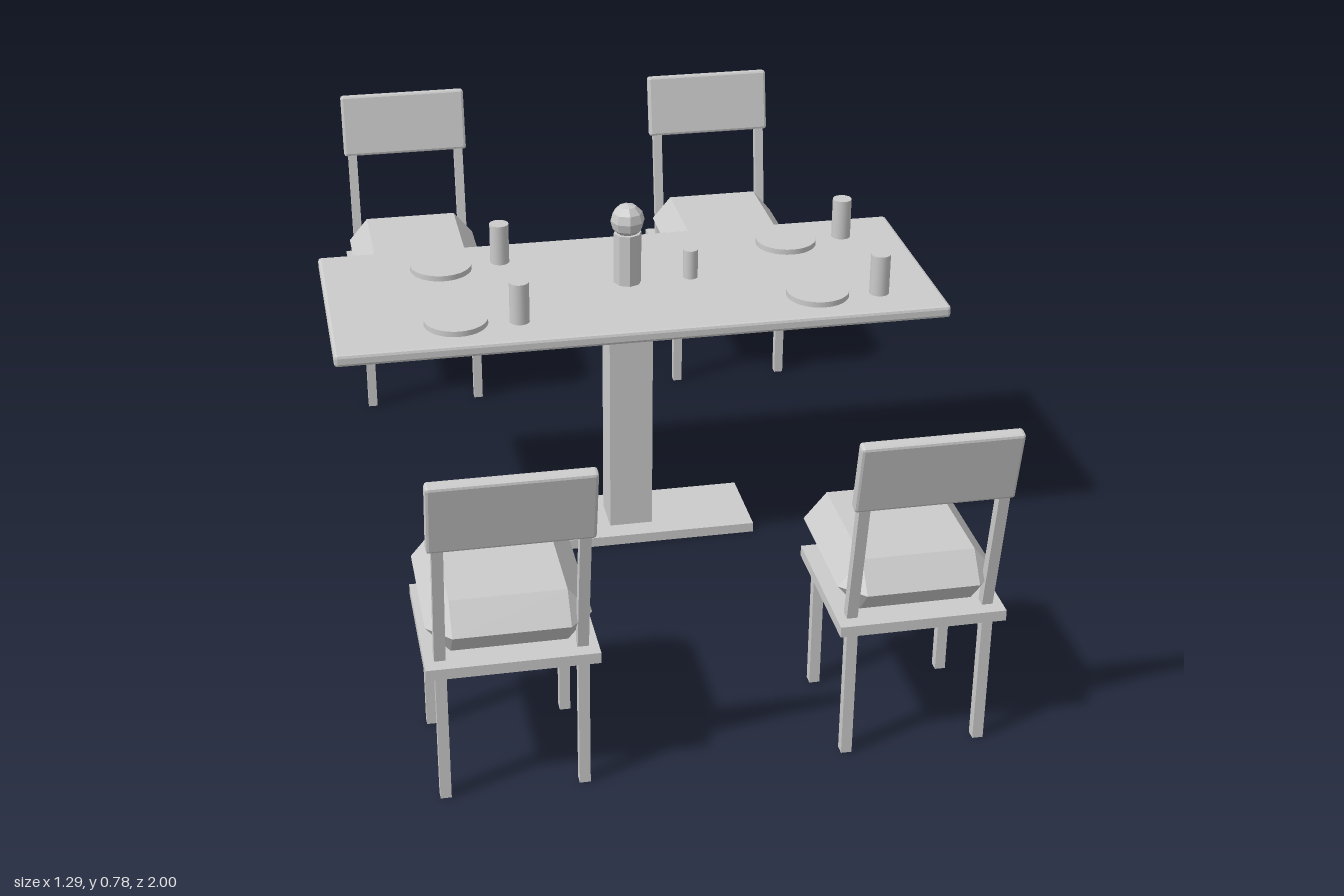
import * as THREE from 'three';
import { RoundedBoxGeometry } from 'three/addons/geometries/RoundedBoxGeometry.js';
import { ConvexGeometry } from 'three/addons/geometries/ConvexGeometry.js';

const material = new THREE.MeshStandardMaterial({ color: 0xcccccc });
const flatMaterial = new THREE.MeshStandardMaterial({ color: 0xcccccc, flatShading: true });

function add(parent, name, geometry, x, y, z, mat = flatMaterial) {
  const mesh = new THREE.Mesh(geometry, mat);
  mesh.name = name;
  mesh.position.set(x, y, z);
  parent.add(mesh);
  return mesh;
}

// Upright cylinder standing on height y
function addRound(parent, name, r, h, x, y, z, sides = 24, mat = material) {
  return add(parent, name, new THREE.CylinderGeometry(r, r, h, sides), x, y + h / 2, z, mat);
}

// Bevelled cushion: rectangular top and bottom, wider chamfered ring at mid height
function cushionGeometry(w, h, d, bevel) {
  const points = [];
  const a = w / 2, b = d / 2;
  for (const sx of [-1, 1]) {
    for (const sz of [-1, 1]) {
      for (const y of [-h / 2, h / 2]) {
        points.push(new THREE.Vector3(sx * (a - bevel), y, sz * (b - bevel)));
      }
      points.push(new THREE.Vector3(sx * a, 0, sz * (b - bevel)));
      points.push(new THREE.Vector3(sx * (a - bevel), 0, sz * b));
    }
  }
  return new ConvexGeometry(points);
}

// Chair placed on the +z side of the table, facing -z
function createChair() {
  const chair = new THREE.Group();
  chair.name = 'chair';
  add(chair, 'seat', new THREE.BoxGeometry(0.322, 0.022, 0.298), 0, 0.291, 0.804);
  add(chair, 'cushion', cushionGeometry(0.308, 0.108, 0.345, 0.045), 0, 0.356, 0.768);
  for (const x of [-0.132, 0.132]) {
    for (const z of [0.682, 0.922]) {
      add(chair, 'leg', new THREE.BoxGeometry(0.021, 0.28, 0.021), x, 0.14, z);
    }
    // Leaning post from the seat up into the backrest
    const post = add(chair, 'backPost', new THREE.BoxGeometry(0.021, 0.3, 0.021), x, 0.442, 0.938);
    post.rotation.x = 0.165;
  }
  const back = add(chair, 'backrest', new RoundedBoxGeometry(0.304, 0.15, 0.025, 1, 0.006), 0, 0.631, 0.972);
  back.rotation.x = 0.2;
  return chair;
}

export function createModel() {
  const model = new THREE.Group();
  model.name = 'diningSet';

  // Table
  const table = new THREE.Group();
  table.name = 'table';
  model.add(table);
  add(table, 'tableTop', new RoundedBoxGeometry(1.294, 0.027, 0.5, 1, 0.007), 0, 0.5865, 0);
  add(table, 'column', new THREE.BoxGeometry(0.095, 0.555, 0.092), 0, 0.2975, 0);
  add(table, 'base', new THREE.BoxGeometry(0.54, 0.022, 0.187), 0, 0.011, 0);

  // Place settings: a plate and a glass for each chair
  const settings = new THREE.Group();
  settings.name = 'tableware';
  model.add(settings);
  for (const x of [-0.387, 0.385]) {
    for (const side of [-1, 1]) {
      addRound(settings, 'plate', 0.067, 0.012, x, 0.6, side * 0.139, 32);
      addRound(settings, 'glass', 0.021, 0.09, x + 0.131, 0.6, side * 0.154);
    }
  }

  // Centre pieces
  addRound(settings, 'bottle', 0.03, 0.115, 0, 0.6, 0, 8, flatMaterial);
  add(settings, 'bottleStopper', new THREE.SphereGeometry(0.037, 8, 6), 0, 0.743, 0);
  addRound(settings, 'shaker', 0.016, 0.065, 0.138, 0.6, 0);

  // Two chairs on each long side, facing the table
  for (const turn of [0, Math.PI]) {
    const row = new THREE.Group();
    row.name = turn ? 'backChairs' : 'frontChairs';
    row.rotation.y = turn;
    for (const x of [-0.387, 0.387]) {
      const chair = createChair();
      chair.position.x = x;
      row.add(chair);
    }
    model.add(row);
  }
  return model;
}
